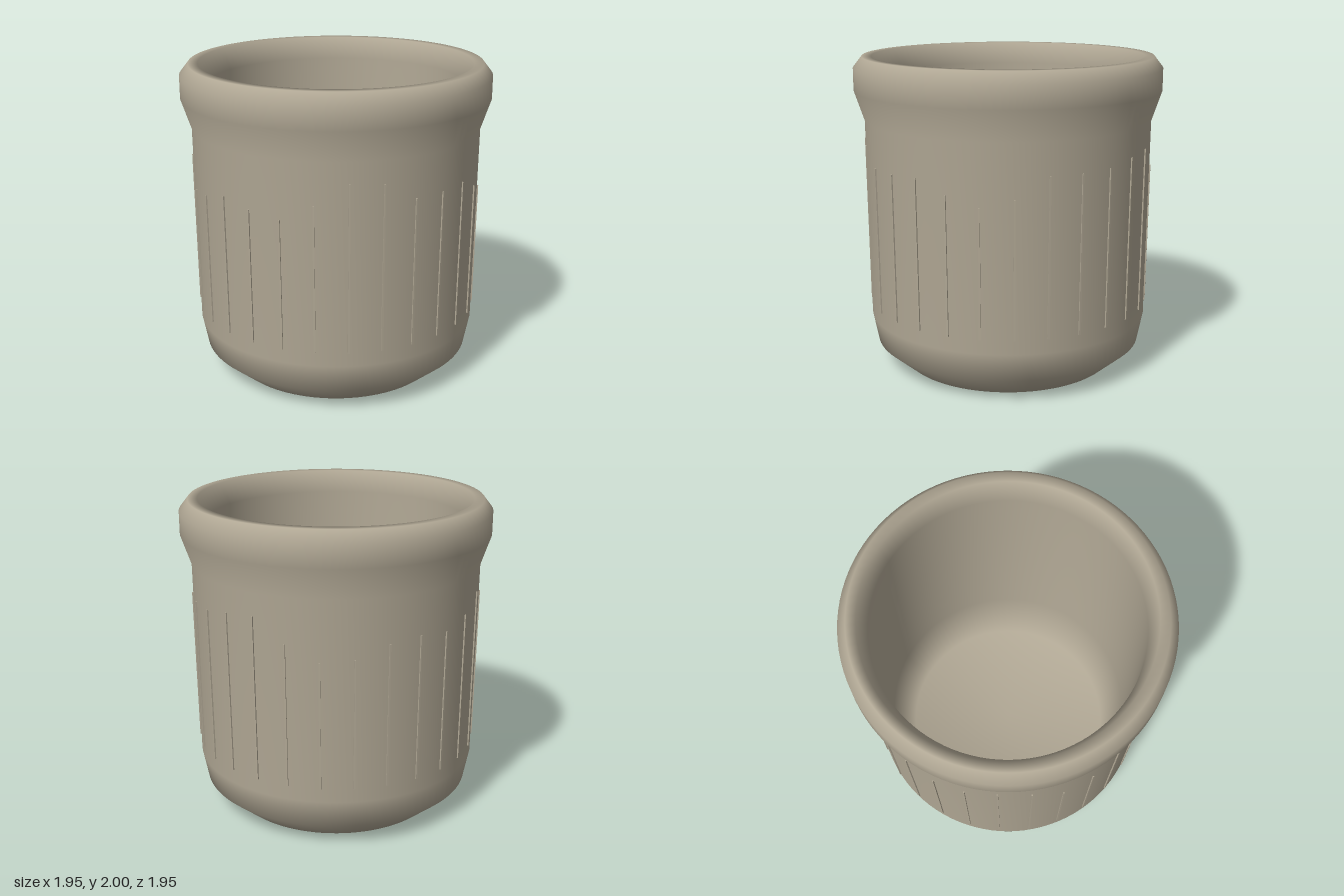
import * as THREE from 'three';

export function createModel() {
  const model = new THREE.Group();
  model.name = 'ribbedPot';
  const clay = new THREE.MeshStandardMaterial({ color: 0xb0a794 });
  clay.name = 'warm grey clay';

  // Pot wall: underside, outer wall, flared rim, inner wall and floor
  const profile = [
    [0, 0], [0.69, 0], [0.865, 0.15], [0.9, 0.33], [0.912, 1.6],
    [0.975, 1.79], [0.975, 1.93], [0.92, 2], [0.86, 2],
    [0.81, 1.86], [0.805, 0.42], [0.68, 0.11], [0, 0.11],
  ].map(([r, y]) => new THREE.Vector2(r, y));
  const pot = new THREE.Mesh(new THREE.LatheGeometry(profile, 96), clay);
  pot.name = 'potBody';
  model.add(pot);

  // Thin upright ribs of uneven height, evenly spaced around the wall
  const tops = [
    1.27, 1.24, 1.34, 1.47, 1.46, 1.35, 1.35, 1.36, 1.28, 1.22, 1.27, 1.4, 1.4, 1.41,
    1.44, 1.46, 1.32, 1.22, 1.24, 1.32, 1.34, 1.32, 1.37, 1.46, 1.41, 1.24, 1.26, 1.31,
  ];
  const bottom = 0.42;
  const ribs = new THREE.Group();
  ribs.name = 'ribs';
  tops.forEach((top, i) => {
    const height = top - bottom;
    const geometry = new THREE.BoxGeometry(0.013, height, 0.024);
    // Narrow the upper end and lean it with the wall
    const p = geometry.attributes.position;
    for (let k = 0; k < p.count; k++) {
      if (p.getY(k) > 0) p.setX(k, p.getX(k) * 0.6);
      p.setZ(k, p.getZ(k) + 0.0094 * (p.getY(k) + height / 2));
    }
    geometry.computeVertexNormals();
    geometry.translate(0, bottom + height / 2, 0.897);
    const rib = new THREE.Mesh(geometry, clay);
    rib.name = 'rib';
    rib.rotation.y = (i / tops.length) * Math.PI * 2;
    ribs.add(rib);
  });
  model.add(ribs);
  return model;
}
